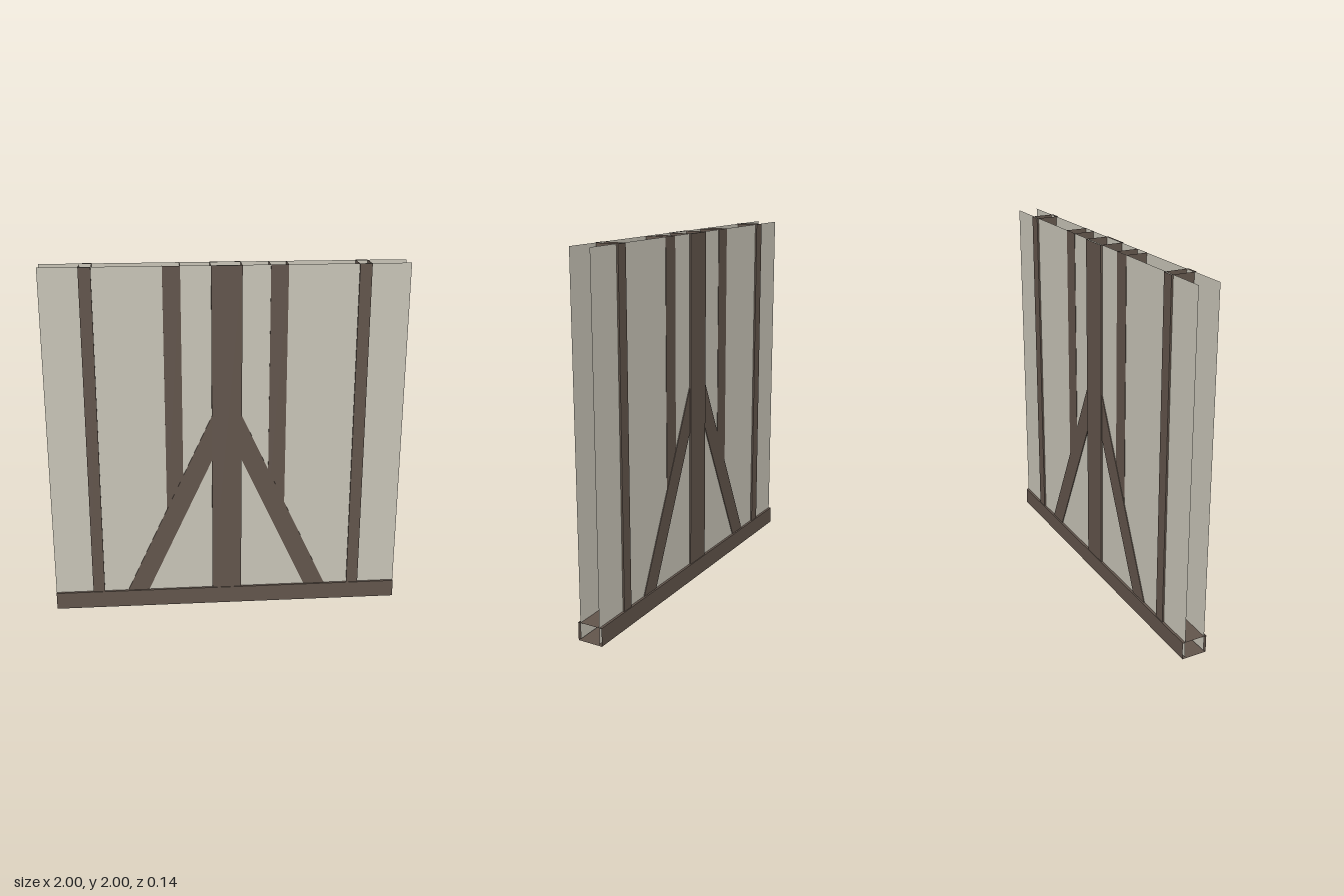
import * as THREE from 'three';

const timber = new THREE.MeshStandardMaterial({ color: 0x62554c, side: THREE.DoubleSide });
timber.name = 'dark timber';
const plaster = new THREE.MeshStandardMaterial({ color: 0xc9c5b8, side: THREE.DoubleSide });
plaster.name = 'pale plaster';

// Thin-walled hollow timber: a box without its two end faces along the given axis
function hollowBox(width, height, depth, axis) {
  const geometry = new THREE.BoxGeometry(width, height, depth);
  const open = axis === 'x' ? [0, 1] : [2, 3];
  const index = Array.from(geometry.index.array);
  geometry.setIndex(index.filter((_, i) => !open.includes(Math.floor(i / 6))));
  geometry.clearGroups();
  return geometry;
}

export function createModel() {
  const model = new THREE.Group();
  model.name = 'timberFramedWall';

  function add(name, geometry, material, x, y, z = 0) {
    const mesh = new THREE.Mesh(geometry, material);
    mesh.name = name;
    mesh.position.set(x, y, z);
    model.add(mesh);
    return mesh;
  }

  function upright(name, x, width, bottom, depth) {
    const height = 2 - bottom;
    add(name, hollowBox(width, height, depth, 'y'), timber, x, bottom + height / 2);
  }

  // Plaster sheets on both faces
  for (const [name, z] of [['frontPanel', 0.058], ['backPanel', -0.058]]) {
    add(name, new THREE.PlaneGeometry(2, 1.99), plaster, 0, 1.005, z);
  }

  // Sill beam, open at both ends
  add('sillBeam', hollowBox(2, 0.1, 0.144, 'x'), timber, 0, 0.05);

  // Full-height posts standing in the sill
  upright('centrePost', 0, 0.168, 0.077, 0.135);
  upright('leftOuterStud', 0.75, 0.067, 0.077, 0.135);
  upright('rightOuterStud', -0.752, 0.067, 0.077, 0.135);

  // Short studs that end inside the braces
  upright('leftInnerStud', 0.285, 0.096, 0.6, 0.12);
  upright('rightInnerStud', -0.296, 0.096, 0.58, 0.12);

  // Slanted braces from the sill up to the centre post
  const foot = new THREE.Vector2(0.543, 0.05);
  const head = new THREE.Vector2(0, 1.21);
  const length = foot.distanceTo(head);
  const lean = Math.atan2(foot.x - head.x, head.y - foot.y);
  for (const [name, side] of [['leftBrace', 1], ['rightBrace', -1]]) {
    const brace = add(name, hollowBox(0.111, length, 0.125, 'y'), timber,
      side * (foot.x + head.x) / 2, (foot.y + head.y) / 2);
    brace.rotation.z = side * lean;
  }

  return model;
}
